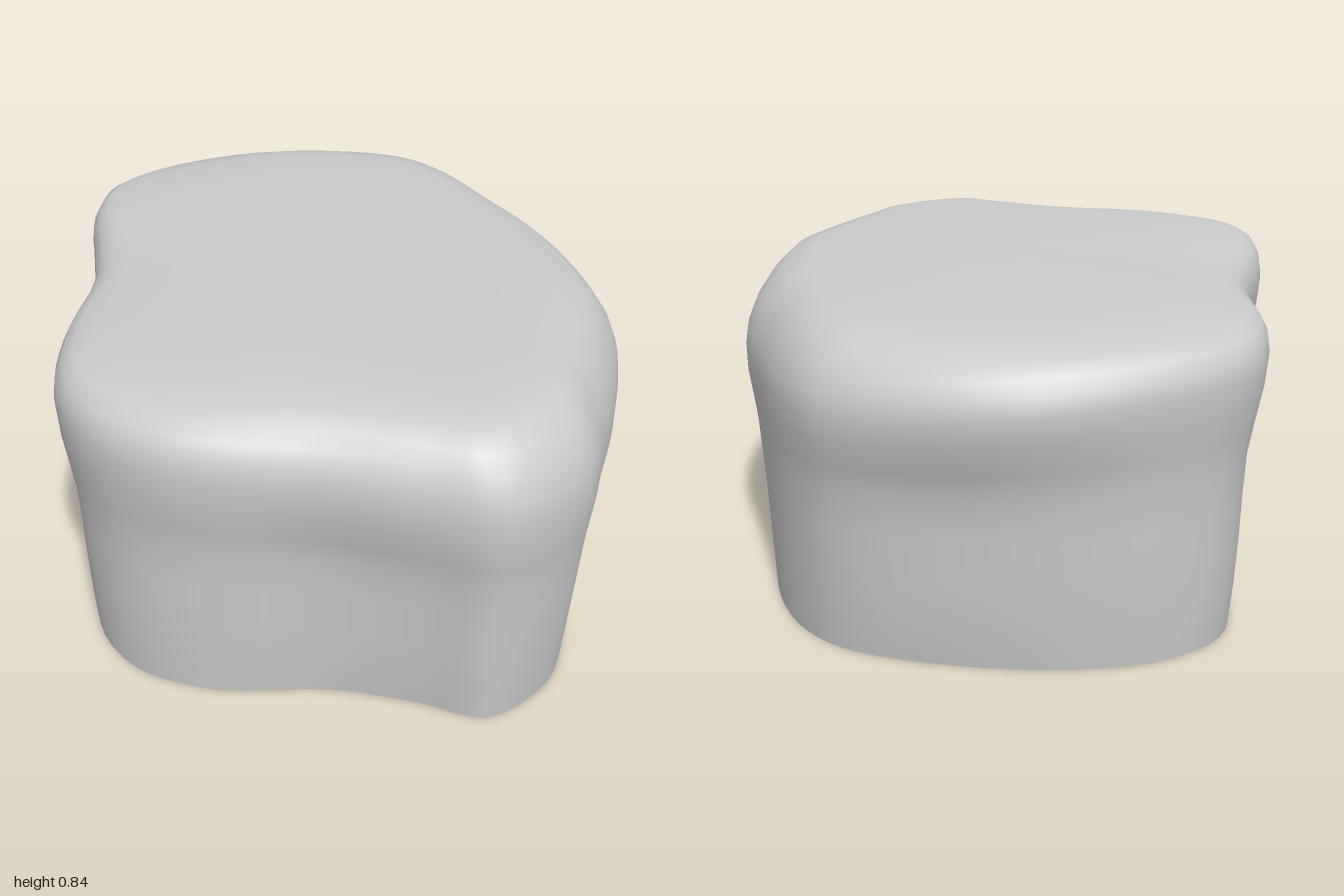
import * as THREE from 'three';

// Widest outline of the boulder (x, z), from the back clockwise seen from above
const SHOULDER = [
  [-0.02, -1], [0.23, -0.94], [0.38, -0.8], [0.53, -0.55], [0.66, -0.3], [0.74, 0],
  [0.755, 0.18], [0.71, 0.42], [0.64, 0.65], [0.57, 0.84], [0.37, 0.995], [0.2, 0.965],
  [-0.05, 0.91], [-0.37, 0.88], [-0.57, 0.78], [-0.69, 0.61], [-0.72, 0.35], [-0.695, 0],
  [-0.73, -0.25], [-0.76, -0.45], [-0.73, -0.65], [-0.57, -0.83], [-0.28, -0.98],
];
// Matching outline on the ground, with deeper hollows on the front and right
const BASE = [
  [0, -0.89], [0.22, -0.86], [0.37, -0.76], [0.5, -0.56], [0.58, -0.3], [0.61, 0],
  [0.615, 0.2], [0.61, 0.42], [0.59, 0.62], [0.53, 0.8], [0.36, 0.93], [0.2, 0.88],
  [-0.03, 0.83], [-0.32, 0.83], [-0.53, 0.75], [-0.65, 0.58], [-0.65, 0.36], [-0.6, 0.1],
  [-0.65, -0.2], [-0.69, -0.42], [-0.68, -0.62], [-0.53, -0.78], [-0.27, -0.87],
];
// Height, blend from base to shoulder, inward offset
const LEVELS = [
  [0, 0, 0], [0.1, 0.16, 0], [0.22, 0.27, 0], [0.34, 0.33, 0], [0.44, 0.42, 0],
  [0.51, 0.65, 0], [0.58, 0.9, 0], [0.65, 1, 0], [0.7, 1, 0.008], [0.745, 1, 0.03],
  [0.78, 1, 0.065], [0.805, 1, 0.115], [0.818, 1, 0.18], [0.825, 1, 0.28], [0.83, 1, 0.42],
];
const SIDES = 92;

function smoothLoop(points) {
  const curve = new THREE.CatmullRomCurve3(
    points.map(([x, z]) => new THREE.Vector3(x, 0, z)), true, 'centripetal');
  return Array.from({ length: SIDES }, (_, i) => curve.getPoint(i / SIDES));
}

function rockGeometry() {
  const low = smoothLoop(BASE), high = smoothLoop(SHOULDER);
  const position = [], index = [];
  for (const [y, blend, inset] of LEVELS) {
    for (let i = 0; i < SIDES; i++) {
      // The left wall flares steadily, the others bulge below the shoulder
      const flare = Math.max(0, high[i].x / 0.755);
      const b = THREE.MathUtils.lerp(blend, Math.min(1, y / 0.58), flare);
      const p = low[i].clone().lerp(high[i], b);
      p.multiplyScalar(1 - inset / p.length());
      // The shoulder sits higher on the right, and the top dips to the back
      const tilt = -0.07 * p.x * blend * Math.max(0, 1 - inset / 0.12);
      const dip = 0.018 * p.z * THREE.MathUtils.smoothstep(y, 0.5, 0.8);
      position.push(p.x, y + tilt + dip, p.z);
    }
  }
  // Crown centre
  const centre = position.length / 3;
  position.push(0, 0.833, 0);

  const last = LEVELS.length - 1;
  for (let j = 0; j <= last; j++) {
    for (let i = 0; i < SIDES; i++) {
      const a = j * SIDES + i, b = j * SIDES + (i + 1) % SIDES;
      if (j === last) index.push(a, centre, b);
      else index.push(a, a + SIDES, b, b, a + SIDES, b + SIDES);
    }
  }
  const geometry = new THREE.BufferGeometry();
  geometry.setAttribute('position', new THREE.Float32BufferAttribute(position, 3));
  geometry.setIndex(index);
  geometry.computeVertexNormals();
  return geometry;
}

export function createModel() {
  const group = new THREE.Group();
  group.name = 'boulder';
  // Hollow shell, open underneath
  const rock = new THREE.Mesh(rockGeometry(),
    new THREE.MeshStandardMaterial({ color: 0xcccccc, side: THREE.DoubleSide }));
  rock.name = 'rockShell';
  group.add(rock);
  return group;
}
